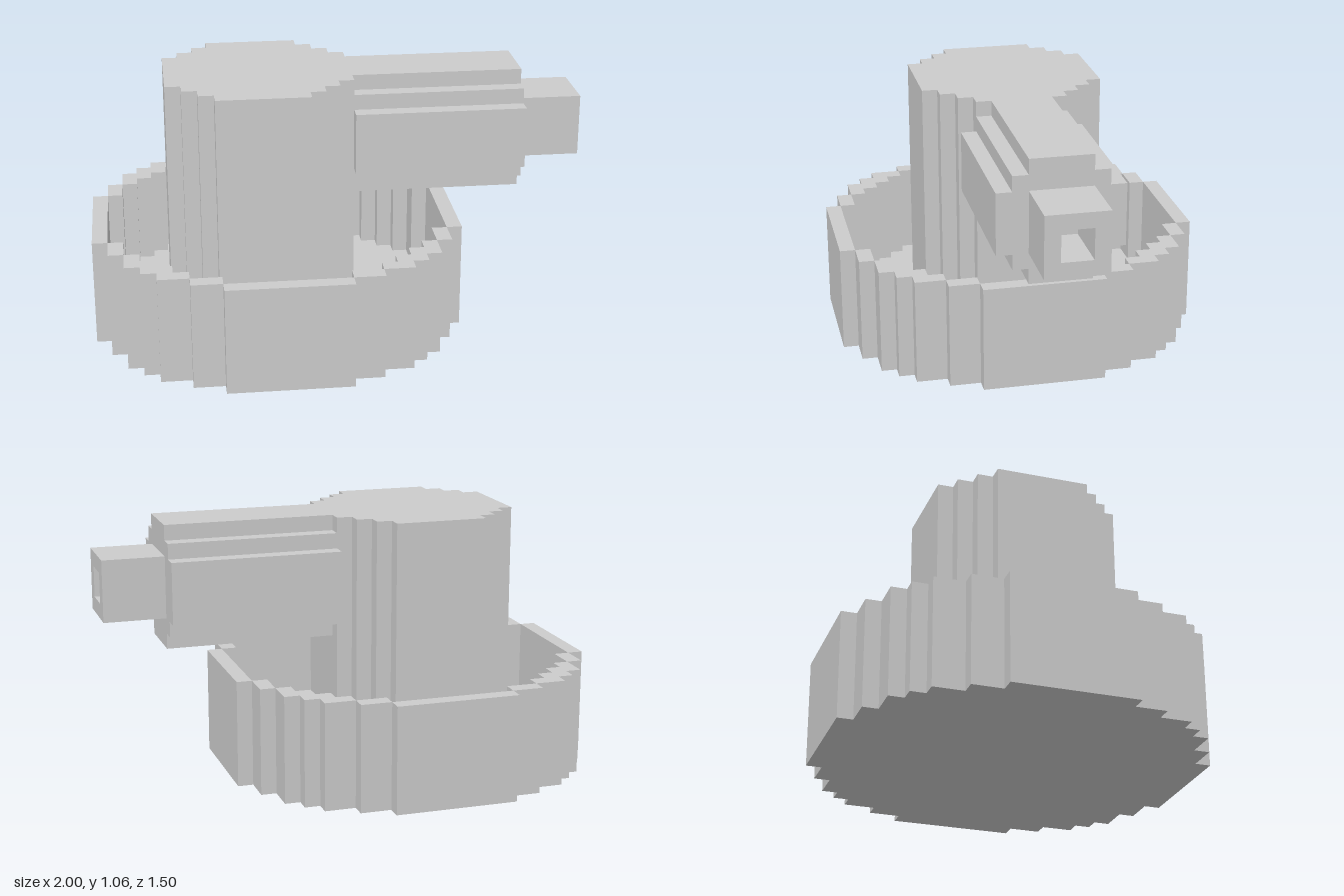
import * as THREE from 'three';

const U = 1 / 16; // one block
const material = new THREE.MeshStandardMaterial({ color: 0xcccccc, flatShading: true });

// Stepped disc outline, symmetric in both axes; each row is [half width, outer height] in blocks
function steppedOutline(rows) {
  const quarter = [];
  rows.forEach(([w, t], i) => {
    if (i > 0) quarter.push([w, rows[i - 1][1]]);
    quarter.push([w, t]);
  });
  const back = [...quarter].reverse();
  return [
    ...quarter,
    ...back.map(([x, y]) => [-x, y]),
    ...quarter.map(([x, y]) => [-x, -y]),
    ...back.map(([x, y]) => [x, -y]),
  ].map(([x, y]) => new THREE.Vector2(x * U, y * U));
}

function extrude(name, rows, length, holeRows) {
  const shape = new THREE.Shape(steppedOutline(rows));
  if (holeRows) shape.holes.push(new THREE.Path(steppedOutline(holeRows)));
  const geometry = new THREE.ExtrudeGeometry(shape, { depth: length * U, bevelEnabled: false });
  const mesh = new THREE.Mesh(geometry, material);
  mesh.name = name;
  return mesh;
}

// Upright prism from y0 to y1, centred on x
function upright(name, rows, x, y0, y1, holeRows) {
  const mesh = extrude(name, rows, y1 - y0, holeRows);
  mesh.geometry.rotateX(-Math.PI / 2);
  mesh.position.set(x * U, y0 * U, 0);
  return mesh;
}

// Sideways prism from x0 to x1, centred on height y
function sideways(name, rows, y, x0, x1, holeRows) {
  const mesh = extrude(name, rows, x1 - x0, holeRows);
  mesh.geometry.rotateY(Math.PI / 2);
  mesh.position.set(x0 * U, y * U, 0);
  return mesh;
}

export function createModel() {
  const group = new THREE.Group();
  group.name = 'turret';

  const baseOuter = [[12, 4], [11, 6], [10, 8], [9, 9], [8, 10], [6, 11], [4, 12]];
  const baseInner = [[11, 4], [10, 6], [9, 7], [8, 8], [7, 9], [6, 10], [4, 11]];
  const columnRows = [[6, 3], [5, 4], [4, 5], [3, 6]];
  const barrelRows = [[4, 2], [3, 3], [2, 4]];

  group.add(
    // Open round base
    upright('baseFloor', baseOuter, -4, 0, 1),
    upright('baseWall', baseOuter, -4, 1, 7, baseInner),
    // Column standing in the base
    upright('column', columnRows, -5, 1, 17),
    // Barrel with a hollow square muzzle
    sideways('barrel', barrelRows, 13, 1, 12),
    sideways('muzzle', [[2, 2]], 13, 12, 16, [[1, 1]]),
  );
  return group;
}
